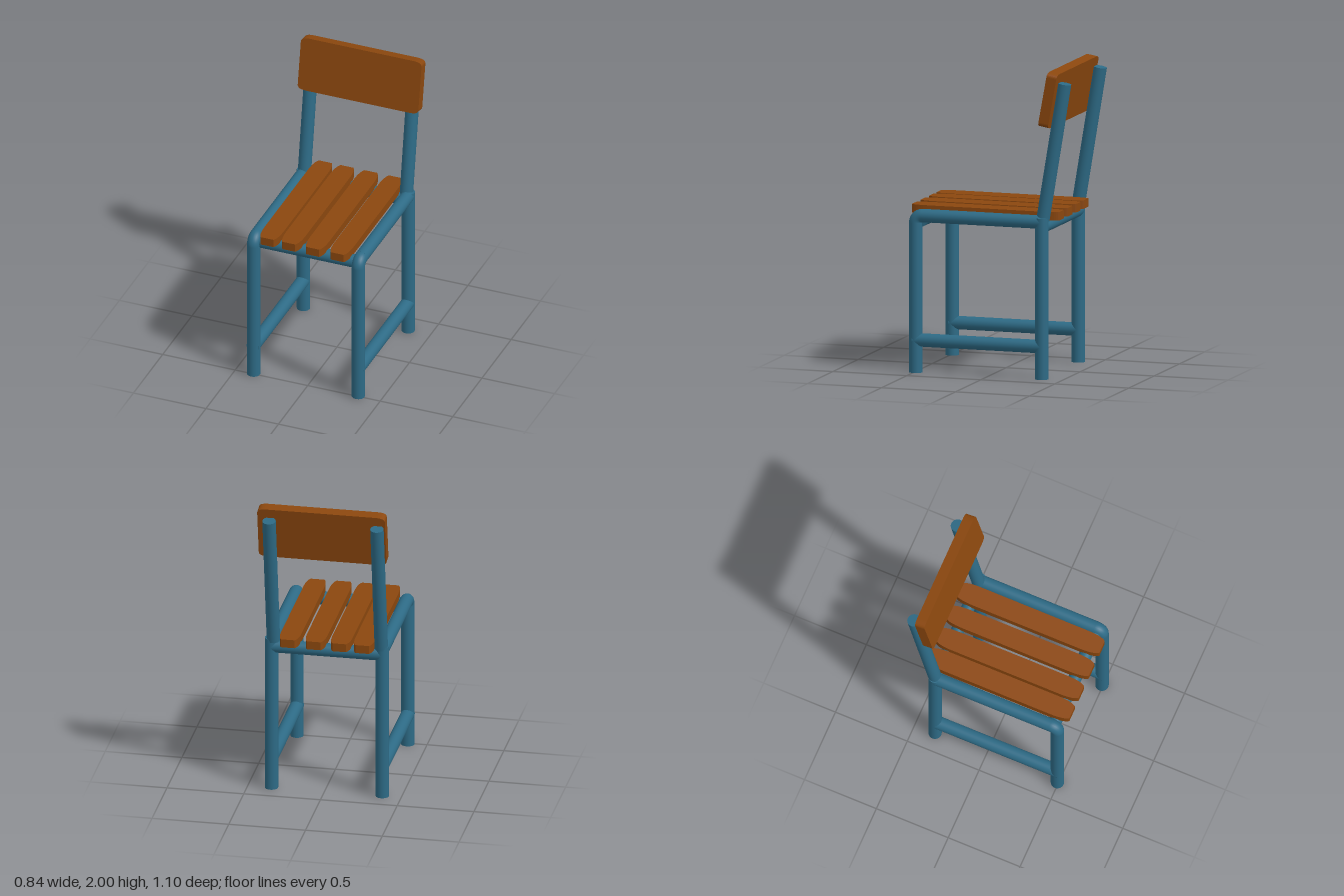
import * as THREE from 'three';

const R = 0.043; // tube radius

export function createModel() {
  const chair = new THREE.Group();
  chair.name = 'chair';
  const steel = new THREE.MeshStandardMaterial({ color: 0x2d6a85 });
  steel.name = 'blue painted steel';
  const wood = new THREE.MeshStandardMaterial({ color: 0x8b470e });
  wood.name = 'brown wood';

  const add = (name, geometry, material) => {
    const mesh = new THREE.Mesh(geometry, material);
    mesh.name = name;
    chair.add(mesh);
    return mesh;
  };

  // Capped straight tube between two points
  const bar = (name, a, b) => {
    const start = new THREE.Vector3(...a), end = new THREE.Vector3(...b);
    const dir = end.clone().sub(start);
    const mesh = add(name, new THREE.CylinderGeometry(R, R, dir.length(), 32), steel);
    mesh.position.copy(start).add(end).multiplyScalar(0.5);
    mesh.quaternion.setFromUnitVectors(new THREE.Vector3(0, 1, 0), dir.normalize());
  };

  const railY = 1.017, frontZ = 0.492, backZ = -0.36, bend = 0.046;
  const sides = [
    { side: 'right', x: -0.376, postX: -0.37 },
    { side: 'left', x: 0.346, postX: 0.333 },
  ];

  for (const { side, x, postX } of sides) {
    // Front leg, rounded bend and seat rail
    bar(side + 'FrontLeg', [x, 0, frontZ], [x, railY - bend, frontZ]);
    const corner = new THREE.TorusGeometry(bend, R, 24, 12, Math.PI / 2);
    corner.rotateY(-Math.PI / 2);
    corner.translate(x, railY - bend, frontZ - bend);
    add(side + 'FrontBend', corner, steel);
    bar(side + 'SeatRail', [x, railY, frontZ - bend], [x, railY, backZ]);

    // Rear leg, leaning back post and low stretcher
    bar(side + 'RearLeg', [x, 0, backZ], [x, 1.045, backZ]);
    bar(side + 'BackPost', [postX, 1.03, -0.363], [postX, 1.92, -0.51]);
    bar(side + 'Stretcher', [x, 0.21, backZ], [x, 0.21, 0.506]);
  }

  // Cross bars under the seat
  bar('frontCrossBar', [-0.376, 0.987, 0.457], [0.346, 0.987, 0.457]);
  bar('rearCrossBar', [-0.376, 0.987, backZ], [0.346, 0.987, backZ]);

  // Seat slats with narrowed, curved ends
  const w = 0.067, tip = 0.044, L = 0.498, shoulder = 0.37;
  const slat = new THREE.Shape();
  slat.moveTo(-w, -shoulder);
  slat.quadraticCurveTo(-w, -0.47, -tip, -L);
  slat.lineTo(tip, -L);
  slat.quadraticCurveTo(w, -0.47, w, -shoulder);
  slat.lineTo(w, shoulder);
  slat.quadraticCurveTo(w, 0.47, tip, L);
  slat.lineTo(-tip, L);
  slat.quadraticCurveTo(-w, 0.47, -w, shoulder);
  slat.closePath();
  const slatGeometry = new THREE.ExtrudeGeometry(slat, { depth: 0.055, bevelEnabled: false, curveSegments: 8 });
  slatGeometry.rotateX(-Math.PI / 2);
  [-0.262, -0.112, 0.053, 0.222].forEach((x, i) => {
    add('seatSlat' + (i + 1), slatGeometry, wood).position.set(x, 1.02, 0.047);
  });

  // Backrest board with softened corners
  const hw = 0.416, hh = 0.18, rx = 0.06, ry = 0.03;
  const board = new THREE.Shape();
  board.moveTo(-hw + rx, -hh);
  board.lineTo(hw - rx, -hh);
  board.quadraticCurveTo(hw, -hh, hw, -hh + ry);
  board.lineTo(hw, hh - ry);
  board.quadraticCurveTo(hw, hh, hw - rx, hh);
  board.lineTo(-hw + rx, hh);
  board.quadraticCurveTo(-hw, hh, -hw, hh - ry);
  board.lineTo(-hw, -hh + ry);
  board.quadraticCurveTo(-hw, -hh, -hw + rx, -hh);
  const boardGeometry = new THREE.ExtrudeGeometry(board, { depth: 0.068, bevelEnabled: false, curveSegments: 8 });
  boardGeometry.translate(0, 0, -0.034);
  const backrest = add('backrest', boardGeometry, wood);
  backrest.position.set(0, 1.816, -0.421);
  backrest.rotation.x = -0.18;

  return chair;
}
